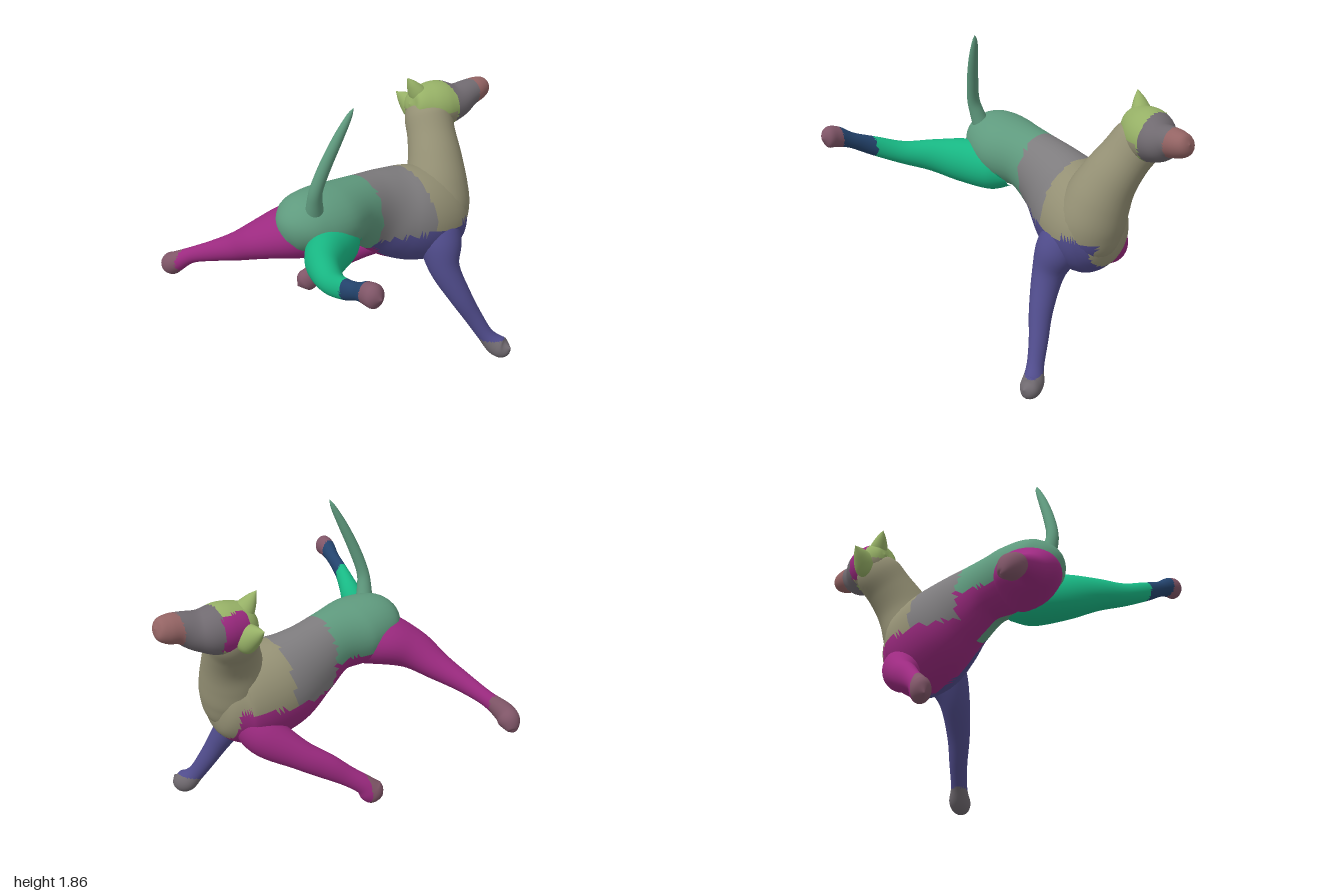
import * as THREE from 'three';

const SIDES = 32, STEPS = 7;

const GREEN = 0x18b884, TEAL = 0x5f9a7e, GREY = 0x7e7c7e, TAN = 0x949074, LIME = 0x96b066,
  BLUE = 0x504c8c, MAGENTA = 0x9c2a80, MAUVE = 0x805668, NAVY = 0x24446e, DUSK = 0x706a70, ROSE = 0x946464;

// Smooth skin through stations [x, y, z, half width, half height].
// Faces are sorted into coloured parts [name, colour, test(x, y, z)]; the first match wins.
function loft(stations, ref, parts) {
  const path = new THREE.CatmullRomCurve3(stations.map(s => new THREE.Vector3(s[0], s[1], s[2])), false, 'catmullrom', 0.5);
  const size = new THREE.CatmullRomCurve3(stations.map(s => new THREE.Vector3(s[3], s[4], 0)), false, 'catmullrom', 0.5);
  const rings = (stations.length - 1) * STEPS;
  const pos = [], index = [];
  for (let i = 0; i <= rings; i++) {
    const u = i / rings;
    const c = path.getPoint(u), r = size.getPoint(u);
    const t = path.getPoint(Math.min(1, u + 0.02)).sub(path.getPoint(Math.max(0, u - 0.02))).normalize();
    const side = t.clone().cross(ref).normalize();
    const up = side.clone().cross(t);
    for (let j = 0; j < SIDES; j++) {
      const a = j / SIDES * Math.PI * 2;
      const p = c.clone()
        .addScaledVector(side, Math.max(0, r.x) * Math.cos(a))
        .addScaledVector(up, Math.max(0, r.y) * Math.sin(a));
      pos.push(p.x, p.y, p.z);
    }
  }
  for (let i = 0; i < rings; i++) {
    for (let j = 0; j < SIDES; j++) {
      const a = i * SIDES + j, b = i * SIDES + (j + 1) % SIDES;
      index.push(a, a + SIDES, b, b, a + SIDES, b + SIDES);
    }
  }
  const whole = new THREE.BufferGeometry();
  whole.setAttribute('position', new THREE.Float32BufferAttribute(pos, 3));
  whole.setIndex(index);
  whole.computeVertexNormals();

  // Split the faces by colour; the pieces keep the shared smooth normals
  const buckets = parts.map(() => []);
  for (let f = 0; f < index.length; f += 3) {
    const tri = index.slice(f, f + 3);
    const mid = [0, 1, 2].map(k => tri.reduce((s, v) => s + pos[v * 3 + k], 0) / 3);
    const hit = parts.findIndex(p => !p[2] || p[2](...mid));
    buckets[hit].push(...tri);
  }
  const group = new THREE.Group();
  parts.forEach(([name, color], k) => {
    if (!buckets[k].length) return;
    const geo = whole.clone();
    geo.setIndex(buckets[k]);
    const mesh = new THREE.Mesh(geo, new THREE.MeshStandardMaterial({ color }));
    mesh.name = name;
    group.add(mesh);
  });
  return group;
}

export function createModel() {
  const model = new THREE.Group();
  model.name = 'runningDog';
  const X = new THREE.Vector3(1, 0, 0), Y = new THREE.Vector3(0, 1, 0);
  const headUp = new THREE.Vector3(0, 0.7, -0.7);
  const add = (name, stations, ref, parts) => {
    const g = loft(stations, ref, parts);
    g.name = name;
    model.add(g);
  };

  // Torso from rump to chest
  add('torso', [
    [-0.695, 1.07, -0.06, 0, 0], [-0.67, 1.08, -0.06, 0.09, 0.09], [-0.6, 1.105, -0.06, 0.175, 0.155],
    [-0.52, 1.115, -0.06, 0.21, 0.187], [-0.38, 1.1, -0.05, 0.225, 0.2], [-0.2, 1.08, -0.06, 0.185, 0.195],
    [-0.02, 1.01, -0.07, 0.2, 0.24], [0.14, 0.94, -0.055, 0.245, 0.285], [0.29, 0.89, -0.01, 0.265, 0.3],
    [0.41, 0.865, 0.025, 0.25, 0.28], [0.51, 0.86, 0.035, 0.2, 0.22], [0.565, 0.86, 0.04, 0.12, 0.13],
    [0.59, 0.86, 0.04, 0, 0],
  ], Y, [
    ['rightFlank', MAGENTA, (x, y, z) => x < -0.1 && z < -0.06 && y < 1.03],
    ['leftFlank', GREEN, (x, y, z) => x < -0.28 && z > 0 && y < 1.0],
    ['rump', TEAL, x => x < -0.11],
    ['leftBreast', BLUE, (x, y, z) => y < 0.88 && z > 0.02 && x < 0.54],
    ['rightBreast', MAGENTA, (x, y, z) => y < 0.88 && z <= 0.02 && x < 0.52],
    ['back', GREY, x => x < 0.22],
    ['chest', TAN],
  ]);

  // Neck rising out of the chest, leaning to the right
  add('neck', [
    [0.4, 0.68, 0.05, 0, 0], [0.41, 0.76, 0.05, 0.15, 0.155], [0.42, 0.9, 0.045, 0.205, 0.195],
    [0.445, 1.05, 0.01, 0.195, 0.19], [0.485, 1.18, -0.04, 0.165, 0.168],
    [0.53, 1.3, -0.115, 0.147, 0.15], [0.57, 1.4, -0.185, 0.145, 0.143], [0.59, 1.47, -0.215, 0.1, 0.1],
    [0.59, 1.5, -0.23, 0, 0],
  ], X, [
    ['leftBrisket', BLUE, (x, y, z) => y < 0.86 && z > 0.14],
    ['neckSkin', TAN],
  ]);

  // Head, rolled to the right
  add('head', [
    [0.465, 1.48, -0.245, 0, 0], [0.49, 1.475, -0.24, 0.095, 0.09], [0.58, 1.455, -0.205, 0.135, 0.14],
    [0.67, 1.445, -0.17, 0.14, 0.145], [0.76, 1.45, -0.135, 0.113, 0.113], [0.85, 1.48, -0.115, 0.088, 0.086],
    [0.93, 1.492, -0.105, 0.08, 0.073], [0.98, 1.505, -0.1, 0.055, 0.05], [0.998, 1.51, -0.1, 0, 0],
  ], headUp, [
    ['rightBrow', MAGENTA, (x, y, z) => x > 0.56 && x < 0.7 && z < -0.28],
    ['jaw', TAN, (x, y) => x < 0.68 && y < 1.44],
    ['skull', LIME, x => x < 0.69],
    ['muzzle', DUSK, x => x < 0.87],
    ['nose', ROSE],
  ]);

  // Pointed ears with broad buried bases
  for (const [name, base, tip, w, h] of [
    ['leftEar', [0.56, 1.48, -0.22], [0.467, 1.645, -0.265], 0.065, 0.055],
    ['rightEar', [0.58, 1.38, -0.25], [0.54, 1.485, -0.435], 0.085, 0.065],
  ]) {
    const at = (u, s) => [...base.map((b, k) => b + (tip[k] - b) * u), w * s, h * s];
    add(name, [at(0, 0.7), at(0.3, 1), at(0.7, 0.58), at(1, 0)], X, [['earSkin', LIME]]);
  }

  // Tail, raised
  add('tail', [
    [-0.54, 1.18, 0.02, 0.06, 0.06], [-0.565, 1.3, 0.05, 0.045, 0.045], [-0.57, 1.4, 0.075, 0.038, 0.036],
    [-0.53, 1.54, 0.108, 0.034, 0.034], [-0.47, 1.69, 0.145, 0.028, 0.028], [-0.415, 1.81, 0.175, 0.016, 0.016],
    [-0.395, 1.86, 0.19, 0, 0],
  ], X, [['tailSkin', TEAL]]);

  // Front legs
  add('frontLeftLeg', [
    [0.34, 0.96, 0.1, 0, 0], [0.34, 0.88, 0.12, 0.11, 0.12], [0.31, 0.75, 0.185, 0.13, 0.13],
    [0.29, 0.6, 0.245, 0.1, 0.09], [0.335, 0.42, 0.34, 0.073, 0.068], [0.39, 0.27, 0.41, 0.06, 0.053],
    [0.435, 0.15, 0.475, 0.054, 0.048], [0.475, 0.08, 0.53, 0.07, 0.062], [0.495, 0.068, 0.585, 0.062, 0.054],
    [0.505, 0.085, 0.63, 0, 0],
  ], X, [['paw', DUSK, (x, y) => y < 0.13], ['legSkin', BLUE]]);
  add('frontRightLeg', [
    [0.44, 0.82, -0.05, 0.1, 0.1], [0.36, 0.69, -0.17, 0.12, 0.125], [0.22, 0.58, -0.325, 0.08, 0.09],
    [0.1, 0.505, -0.42, 0.062, 0.078], [0, 0.435, -0.49, 0.05, 0.062], [-0.08, 0.375, -0.545, 0.052, 0.06],
    [-0.12, 0.328, -0.57, 0.058, 0.075], [-0.15, 0.305, -0.59, 0.048, 0.06], [-0.18, 0.285, -0.605, 0, 0],
  ], Y, [['paw', MAUVE, x => x < -0.09], ['legSkin', MAGENTA]]);

  // Hind legs
  add('hindRightLeg', [
    [-0.44, 1.06, -0.06, 0.18, 0.17], [-0.56, 1.04, -0.17, 0.19, 0.15], [-0.67, 0.985, -0.29, 0.145, 0.115],
    [-0.745, 0.905, -0.43, 0.095, 0.085], [-0.815, 0.835, -0.58, 0.06, 0.062], [-0.875, 0.765, -0.73, 0.046, 0.048],
    [-0.925, 0.7, -0.825, 0.06, 0.062], [-0.925, 0.66, -0.88, 0.064, 0.066], [-0.915, 0.62, -0.92, 0.035, 0.03],
    [-0.91, 0.612, -0.93, 0, 0],
  ], Y, [['paw', MAUVE, (x, y, z) => z < -0.78], ['legSkin', MAGENTA]]);
  add('hindLeftLeg', [
    [-0.3, 1.0, 0.0, 0.1, 0.1], [-0.42, 1.0, 0.05, 0.14, 0.145], [-0.59, 1.02, 0.16, 0.12, 0.135],
    [-0.71, 1.05, 0.29, 0.088, 0.1], [-0.8, 1.085, 0.45, 0.066, 0.07], [-0.865, 1.155, 0.62, 0.043, 0.058],
    [-0.895, 1.215, 0.75, 0.041, 0.047], [-0.915, 1.255, 0.84, 0.053, 0.062], [-0.92, 1.265, 0.9, 0.052, 0.06],
    [-0.92, 1.265, 0.94, 0, 0],
  ], Y, [['paw', MAUVE, (x, y, z) => z > 0.82], ['shank', NAVY, (x, y, z) => z > 0.62], ['legSkin', GREEN]]);

  return model;
}
